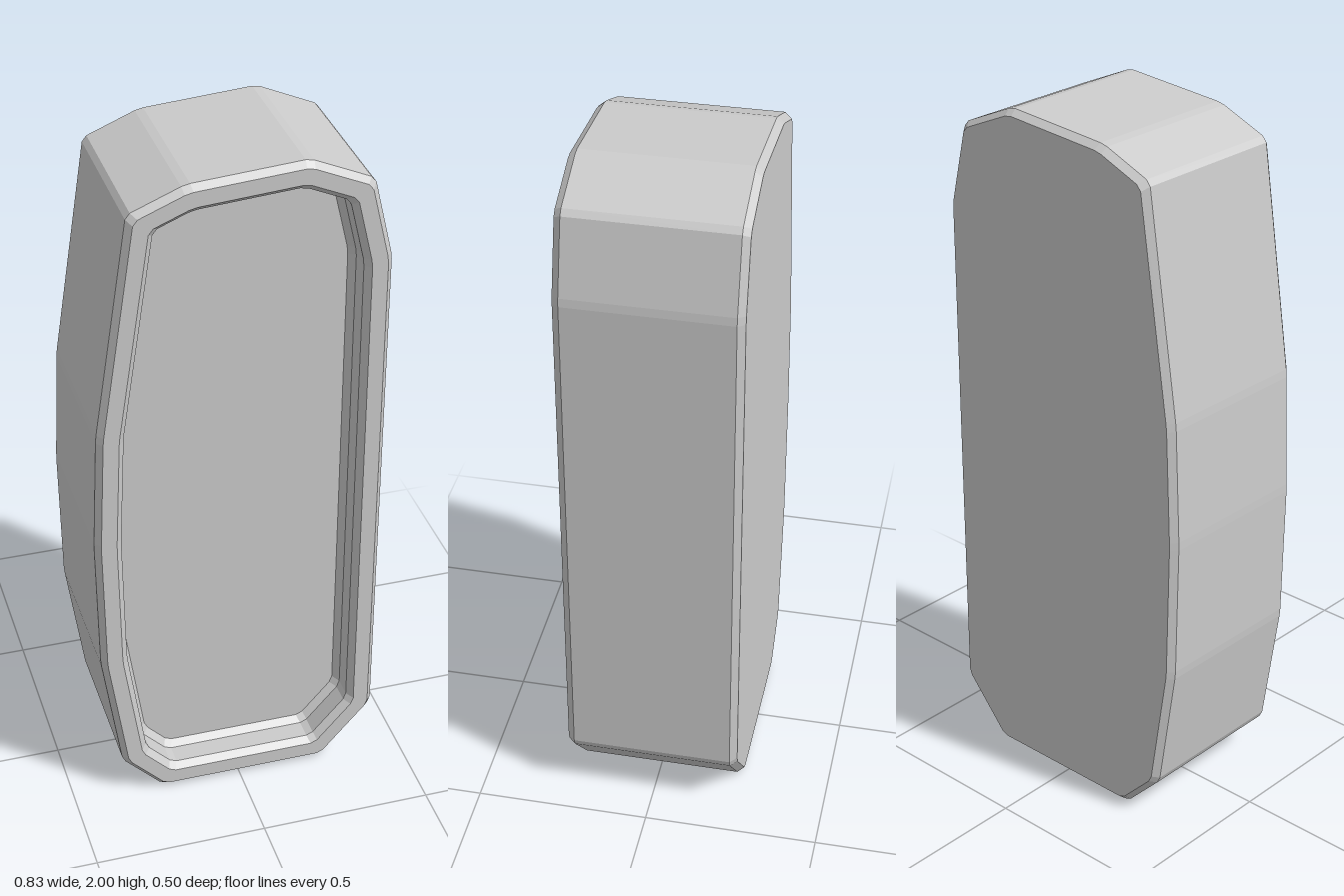
import * as THREE from 'three';

// Outline corners, counter-clockwise seen from the front
const outline = [
  [0.262, 0], [0.413, 0.172], [0.413, 1.69], [0.358, 1.923], [0.18, 2.001], [-0.147, 1.976],
  [-0.303, 1.912], [-0.4, 1.26], [-0.415, 0.91], [-0.408, 0.5], [-0.353, 0.123], [-0.235, 0],
].map(([x, y]) => new THREE.Vector2(x, y));

// Outline moved inward by d with mitred corners, each corner then clipped
function ring(d, z, clip = 0.012) {
  const n = outline.length;
  const corners = outline.map((p, i) => {
    const a = p.clone().sub(outline[(i + n - 1) % n]).normalize();
    const b = outline[(i + 1) % n].clone().sub(p).normalize();
    const na = new THREE.Vector2(-a.y, a.x);
    const nb = new THREE.Vector2(-b.y, b.x);
    return p.clone().addScaledVector(na.clone().add(nb), d / (1 + na.dot(nb)));
  });
  return corners.flatMap((p, i) =>
    [corners[(i + n - 1) % n], corners[(i + 1) % n]].map((q) => {
      const v = p.clone().addScaledVector(q.clone().sub(p).normalize(), clip);
      return [v.x, v.y, z];
    }));
}

// Skin through consecutive rings, with optional flat caps
function loft(name, rings, material, { capStart = false, capEnd = false } = {}) {
  const n = rings[0].length;
  const index = [];
  for (let r = 0; r < rings.length - 1; r++) {
    for (let i = 0; i < n; i++) {
      const a = r * n + i, b = r * n + (i + 1) % n;
      index.push(a, b, b + n, a, b + n, a + n);
    }
  }
  const last = (rings.length - 1) * n;
  for (let i = 1; i < n - 1; i++) {
    if (capStart) index.push(0, i + 1, i);
    if (capEnd) index.push(last, last + i, last + i + 1);
  }
  const geometry = new THREE.BufferGeometry();
  geometry.setAttribute('position', new THREE.Float32BufferAttribute(rings.flat(2), 3));
  geometry.setIndex(index);
  const flat = geometry.toNonIndexed();
  flat.computeVertexNormals();
  const mesh = new THREE.Mesh(flat, material);
  mesh.name = name;
  return mesh;
}

export function createModel() {
  const group = new THREE.Group();
  group.name = 'recessedCase';
  const grey = new THREE.MeshStandardMaterial({ color: 0xcccccc, flatShading: true });

  // Solid body with bevelled back and front edges, and the flat front rim
  group.add(loft('casing', [
    ring(0.016, -0.25), ring(0, -0.23), ring(0, 0.23), ring(0.016, 0.25), ring(0.06, 0.25),
  ], grey, { capStart: true }));

  // Stepped recess: chamfer, straight wall, chamfer, then the flat panel
  group.add(loft('recessedPanel', [
    ring(0.06, 0.25), ring(0.077, 0.23), ring(0.077, 0.17), ring(0.094, 0.15),
  ], grey, { capEnd: true }));

  return group;
}
